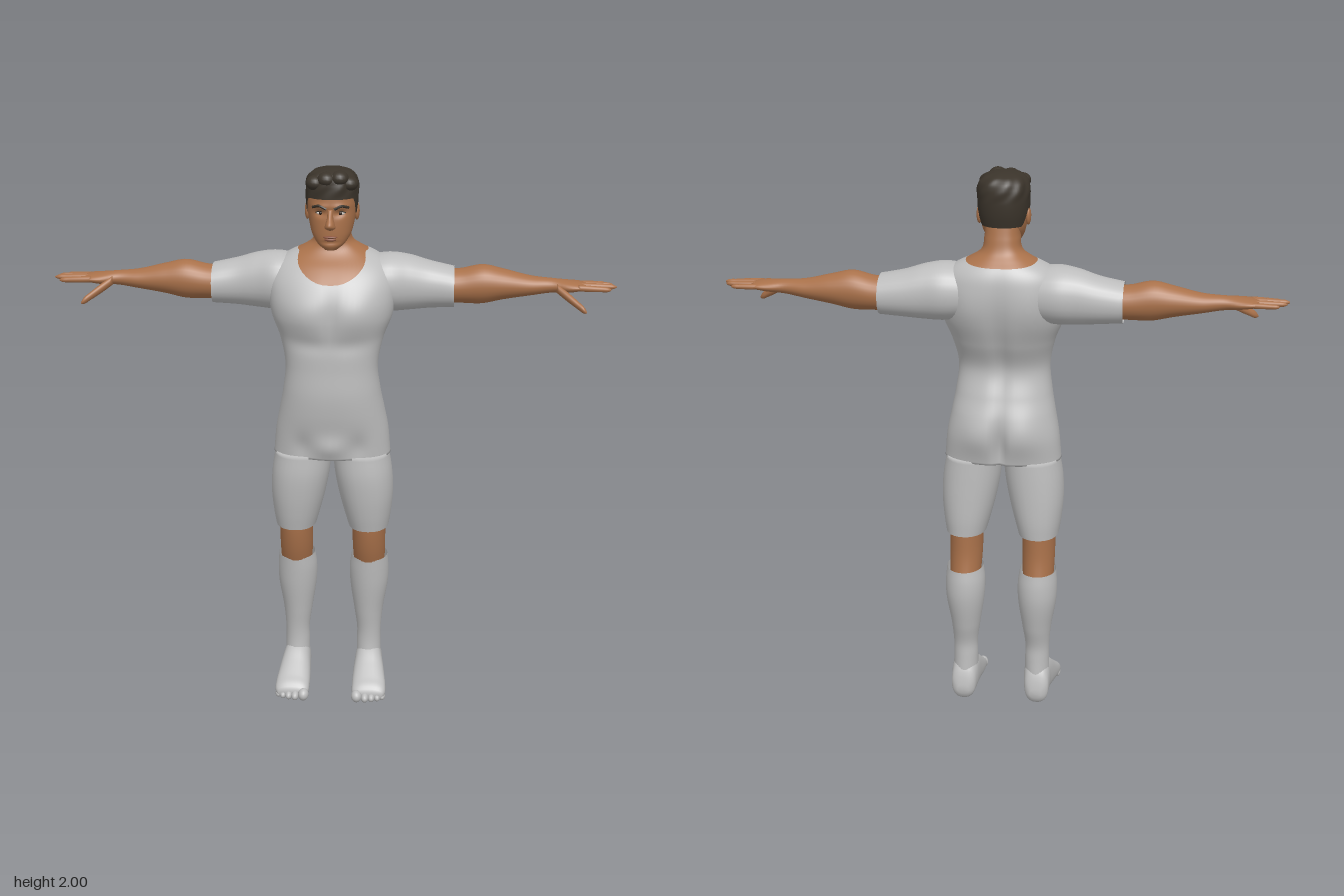
import * as THREE from 'three';

const mat = (name, color, side = THREE.FrontSide) => {
  const m = new THREE.MeshStandardMaterial({ color, side });
  m.name = name;
  return m;
};

const gauss = (x, y, cx, cy, sx, sy) => Math.exp(-(((x - cx) / sx) ** 2) - ((y - cy) / sy) ** 2);
const sym = rows => rows.map(([t, h, b, f]) => [t, -h, h, b, f]);
// axis order for each loft direction: [along, first cross axis, second cross axis]
const AXES = { x: ['x', 'z', 'y'], y: ['y', 'x', 'z'], z: ['z', 'y', 'x'] };

// Smooth loft through rows of [position, uMin, uMax, vMin, vMax]; lo/hi may vary with the angle
function loft(rows, o = {}) {
  const { axis = 'y', seg = 28, n = 24, p = 2, cap = '', deform } = o;
  const first = rows[0][0], last = rows[rows.length - 1][0];
  const lo = o.lo || (() => first), hi = o.hi || (() => last);
  const curve = new THREE.CubicInterpolant(rows.map(r => r[0]), rows.flatMap(r => r.slice(1)), 4, new Float32Array(4));
  const [A, U, V] = AXES[axis];
  const pos = [], idx = [], pt = new THREE.Vector3();
  const pw = c => Math.sign(c) * Math.abs(c) ** (2 / p);
  for (let j = 0; j <= n; j++) {
    for (let i = 0; i < seg; i++) {
      const a = (i / seg) * Math.PI * 2, c = Math.cos(a), s = Math.sin(a);
      const t = lo(s) + (hi(s) - lo(s)) * (j / n);
      const [u0, u1, v0, v1] = curve.evaluate(t);
      pt[A] = t;
      pt[U] = (u0 + u1) / 2 + ((u1 - u0) / 2) * pw(c);
      pt[V] = (v0 + v1) / 2 + ((v1 - v0) / 2) * pw(s);
      if (deform) deform(pt, c, s);
      pos.push(pt.x, pt.y, pt.z);
      if (j < n) {
        const k = j * seg + i, k1 = j * seg + ((i + 1) % seg);
        idx.push(k, k + seg, k1, k1, k + seg, k1 + seg);
      }
    }
  }
  // end caps as fans around the middle of the ring
  const addCap = (j, top) => {
    const m = [0, 0, 0], centre = pos.length / 3;
    for (let i = 0; i < seg; i++) for (let d = 0; d < 3; d++) m[d] += pos[(j * seg + i) * 3 + d] / seg;
    pos.push(...m);
    for (let i = 0; i < seg; i++) {
      const k = j * seg + i, k1 = j * seg + ((i + 1) % seg);
      idx.push(...(top ? [k, centre, k1] : [k, k1, centre]));
    }
  };
  if (cap.includes('a')) addCap(0, false);
  if (cap.includes('b')) addCap(n, true);
  const g = new THREE.BufferGeometry();
  g.setAttribute('position', new THREE.Float32BufferAttribute(pos, 3));
  g.setIndex(idx);
  g.computeVertexNormals();
  return g;
}

const ball = (x, y, z, rx, ry, rz) => new THREE.SphereGeometry(1, 18, 12).scale(rx, ry, rz).translate(x, y, z);

function mirror(geo) {
  const g = geo.clone().scale(-1, 1, 1), ix = g.index.array;
  for (let i = 0; i < ix.length; i += 3) [ix[i], ix[i + 1]] = [ix[i + 1], ix[i]];
  g.computeVertexNormals();
  return g;
}

export function createModel() {
  const model = new THREE.Group();
  model.name = 'standingMan';
  const cloth = mat('light grey cloth', 0xbdbdbd, THREE.DoubleSide);
  const skin = mat('tan skin', 0xa9714a);
  const hair = mat('dark brown hair', 0x3b342b, THREE.DoubleSide);
  const lip = mat('lip brown', 0x8a5440);
  const white = mat('eye white', 0xcfc8c0);
  const iris = mat('dark iris', 0x2a1c14);
  const add = (name, geo, m) => {
    const mesh = new THREE.Mesh(geo, m);
    mesh.name = name;
    model.add(mesh);
  };
  const pair = (name, geo, m) => {
    add(name + 'Left', geo, m);
    add(name + 'Right', mirror(geo), m);
  };
  const smooth = THREE.MathUtils.smoothstep;

  // Trunk and neck share one surface, divided along the neckline
  const trunk = sym([
    [0.955, 0.212, -0.128, 0.112], [1.05, 0.203, -0.143, 0.128], [1.13, 0.188, -0.137, 0.143],
    [1.2, 0.175, -0.115, 0.15], [1.3, 0.165, -0.088, 0.148], [1.4, 0.185, -0.125, 0.15],
    [1.48, 0.215, -0.153, 0.157], [1.55, 0.225, -0.167, 0.15], [1.61, 0.222, -0.168, 0.122],
    [1.655, 0.198, -0.16, 0.085], [1.685, 0.158, -0.145, 0.05], [1.705, 0.115, -0.128, 0.033],
    [1.73, 0.076, -0.108, 0.025], [1.78, 0.063, -0.092, 0.035], [1.83, 0.06, -0.08, 0.03],
  ]);
  const muscles = (q, c, s) => {
    const x = Math.abs(q.x), y = q.y;
    if (s > 0) {
      q.z += s * (0.014 * gauss(x, y, 0.1, 1.5, 0.075, 0.06) - 0.008 * gauss(x, y, 0, 1.5, 0.02, 0.09)
        - 0.007 * gauss(x, y, 0.08, 1.39, 0.09, 0.03) + 0.014 * gauss(x, y, 0, 1.0, 0.045, 0.04)
        - 0.012 * gauss(x, y, 0.1, 1.0, 0.035, 0.05));
    } else {
      q.z += s * (0.014 * gauss(x, y, 0.085, 1.07, 0.07, 0.07) - 0.03 * gauss(x, y, 0, 1.03, 0.018, 0.08)
        - 0.016 * gauss(x, y, 0, 1.38, 0.028, 0.2) + 0.008 * gauss(x, y, 0.12, 1.53, 0.06, 0.08));
    }
  };
  const neckline = s => 1.7 - (s > 0 ? 0.095 * s ** 5 : 0.012 * s * s);
  const trunkStyle = { seg: 72, p: 2.3, deform: muscles };
  add('shirt', loft(trunk, { ...trunkStyle, n: 90, hi: neckline, cap: 'a' }), cloth);
  add('neck', loft(trunk, { ...trunkStyle, n: 30, lo: neckline, cap: 'b' }), skin);

  // Sleeves, open at the cuff
  pair('sleeve', loft([
    [0.1, -0.14, 0.05, 1.49, 1.67], [0.2, -0.16, 0.058, 1.477, 1.685], [0.27, -0.154, 0.036, 1.48, 1.676],
    [0.34, -0.15, 0.022, 1.486, 1.655], [0.43, -0.143, 0.022, 1.492, 1.635],
  ], { axis: 'x', p: 2.15 }), cloth);

  // Arms with palms
  pair('arm', loft([
    [0.3, -0.125, 0, 1.505, 1.62], [0.45, -0.13, 0, 1.505, 1.628], [0.53, -0.128, 0.002, 1.505, 1.644],
    [0.6, -0.122, -0.005, 1.52, 1.63], [0.7, -0.105, -0.018, 1.537, 1.607], [0.78, -0.09, -0.024, 1.55, 1.6],
    [0.83, -0.097, -0.005, 1.553, 1.596], [0.87, -0.1, -0.002, 1.56, 1.592], [0.895, -0.094, -0.01, 1.565, 1.586],
  ], { axis: 'x', n: 48, cap: 'ab' }), skin);

  // Fingers: [name, root, tip, radius]
  const fingers = [
    ['indexFinger', [0.865, 1.577, -0.014], [0.98, 1.573, -0.012], 0.0115],
    ['middleFinger', [0.865, 1.579, -0.038], [1.0, 1.578, -0.036], 0.012],
    ['ringFinger', [0.865, 1.578, -0.063], [0.99, 1.578, -0.064], 0.0115],
    ['littleFinger', [0.86, 1.576, -0.086], [0.965, 1.576, -0.093], 0.01],
    ['thumb', [0.79, 1.572, -0.03], [0.895, 1.503, 0.038], 0.017],
  ];
  for (const [name, a, b, r] of fingers) {
    const rows = [[0, 1], [0.35, 1], [0.7, 0.85], [0.92, 0.65], [1, 0.15]].map(([t, k]) => {
      const [x, y, z] = a.map((v, i) => v + (b[i] - v) * t);
      return [x, z - r * k, z + r * k, y - r * k, y + r * k];
    });
    pair(name, loft(rows, { axis: 'x', seg: 12, n: 16, cap: 'ab' }), skin);
  }

  // Shorts, legs and socks
  pair('shortsLeg', loft([
    [0.667, 0.06, 0.208, -0.125, 0.08], [0.72, 0.045, 0.216, -0.128, 0.092], [0.8, 0.025, 0.223, -0.127, 0.105],
    [0.88, 0.01, 0.22, -0.124, 0.111], [0.962, 0.002, 0.207, -0.12, 0.106],
  ], { p: 2.2, cap: 'b' }), cloth);
  pair('knee', loft([
    [0.48, 0.08, 0.192, -0.125, 0.015], [0.57, 0.075, 0.195, -0.107, 0.043], [0.64, 0.073, 0.196, -0.102, 0.056],
    [0.74, 0.068, 0.2, -0.1, 0.062],
  ], { cap: 'ab' }), skin);
  pair('sock', loft([
    [0.1, 0.09, 0.182, -0.115, 0], [0.17, 0.09, 0.18, -0.11, -0.01], [0.22, 0.091, 0.18, -0.109, -0.01],
    [0.3, 0.08, 0.187, -0.128, 0], [0.42, 0.063, 0.206, -0.15, 0.018], [0.48, 0.062, 0.207, -0.15, 0.025],
    [0.53, 0.069, 0.203, -0.143, 0.03],
  ], { n: 40 }), cloth);

  // Feet, flattened on the ground, with toes
  pair('foot', loft([
    [-0.13, 0.025, 0.06, 0.115, 0.16], [-0.12, 0.005, 0.1, 0.1, 0.177], [-0.09, 0, 0.15, 0.089, 0.185],
    [-0.05, 0, 0.165, 0.085, 0.187], [-0.01, 0, 0.15, 0.083, 0.193], [0.04, 0, 0.115, 0.08, 0.201],
    [0.09, 0, 0.08, 0.08, 0.207], [0.12, 0.002, 0.06, 0.083, 0.205], [0.135, 0.012, 0.042, 0.093, 0.195],
  ], { axis: 'z', p: 2.4, n: 40, cap: 'ab' }), cloth);
  [[0.1, 0.135, 0.02], [0.131, 0.134, 0.0145], [0.155, 0.128, 0.0135], [0.177, 0.12, 0.0125], [0.195, 0.108, 0.012]]
    .forEach(([x, z, r], i) => pair('toe' + (i + 1), ball(x, r + 0.004, z, r, r + 0.003, 0.025), cloth));

  // Head with eye sockets and cheeks
  add('head', loft(sym([
    [1.723, 0.022, 0.045, 0.092], [1.74, 0.045, 0.01, 0.102], [1.77, 0.066, -0.035, 0.105], [1.8, 0.076, -0.068, 0.106],
    [1.85, 0.084, -0.084, 0.104], [1.9, 0.086, -0.089, 0.103], [1.94, 0.082, -0.086, 0.095],
    [1.97, 0.065, -0.068, 0.072], [1.985, 0.03, -0.03, 0.035],
  ]), {
    seg: 56, n: 56, p: 2.2, cap: 'ab',
    deform: (q, c, s) => {
      const x = Math.abs(q.x);
      if (s > 0) q.z += 0.005 * gauss(x, q.y, 0.035, 1.877, 0.03, 0.01) - 0.01 * gauss(x, q.y, 0.034, 1.853, 0.018, 0.012)
        - 0.005 * gauss(x, q.y, 0, 1.752, 0.03, 0.007);
    },
  }), skin);
  add('nose', loft(sym([
    [1.798, 0.011, 0.08, 0.116], [1.807, 0.019, 0.08, 0.138], [1.818, 0.0165, 0.08, 0.146],
    [1.84, 0.011, 0.08, 0.129], [1.868, 0.01, 0.08, 0.109],
  ]), { seg: 20, cap: 'ab' }), skin);
  add('upperLip', ball(0, 1.772, 0.102, 0.025, 0.005, 0.01), lip);
  add('lowerLip', ball(0, 1.763, 0.1, 0.021, 0.006, 0.01), lip);
  pair('ear', ball(0.086, 1.845, 0.002, 0.01, 0.032, 0.019), skin);
  pair('eye', ball(0.035, 1.853, 0.083, 0.015, 0.0065, 0.008), white);
  pair('iris', ball(0.034, 1.853, 0.089, 0.006, 0.006, 0.004), iris);
  const stroke = (r, ...pts) => new THREE.TubeGeometry(
    new THREE.CatmullRomCurve3(pts.map(q => new THREE.Vector3(...q))), 14, r, 8);
  pair('eyebrow', stroke(0.005, [0.013, 1.87, 0.105], [0.038, 1.88, 0.099], [0.062, 1.873, 0.081]), hair);
  pair('eyelid', stroke(0.0025, [0.02, 1.856, 0.09], [0.035, 1.861, 0.09], [0.052, 1.855, 0.082]), hair);

  // Short wavy hair with a hairline that dips to sideburns and nape
  const hairline = s => s > 0
    ? 1.845 + 0.058 * smooth(s, 0.25, 0.6)
    : 1.845 + 0.03 * smooth(-s, 0, 0.12) - 0.058 * smooth(-s, 0.2, 0.55);
  add('hair', loft(sym([
    [1.81, 0.08, -0.082, 0.1], [1.86, 0.089, -0.092, 0.106], [1.91, 0.092, -0.095, 0.107], [1.95, 0.09, -0.092, 0.106],
    [1.975, 0.078, -0.08, 0.098], [1.99, 0.055, -0.058, 0.08], [1.997, 0.025, -0.025, 0.05],
  ]), {
    seg: 64, n: 36, p: 2.25, lo: hairline, cap: 'b',
    deform: (q, c, s) => {
      const k = 1 + 0.025 * smooth(q.y, 1.9, 1.94) * Math.sin(9 * Math.atan2(s, c) + 60 * q.y);
      q.x *= k;
      q.z *= k;
    },
  }), hair);
  [[-0.055, 1.955, 0.07], [-0.015, 1.968, 0.078], [0.03, 1.972, 0.075], [0.062, 1.952, 0.06]]
    .forEach(([x, y, z], i) => add('hairTuft' + (i + 1), ball(x, y, z, 0.032, 0.026, 0.034), hair));

  return model;
}
